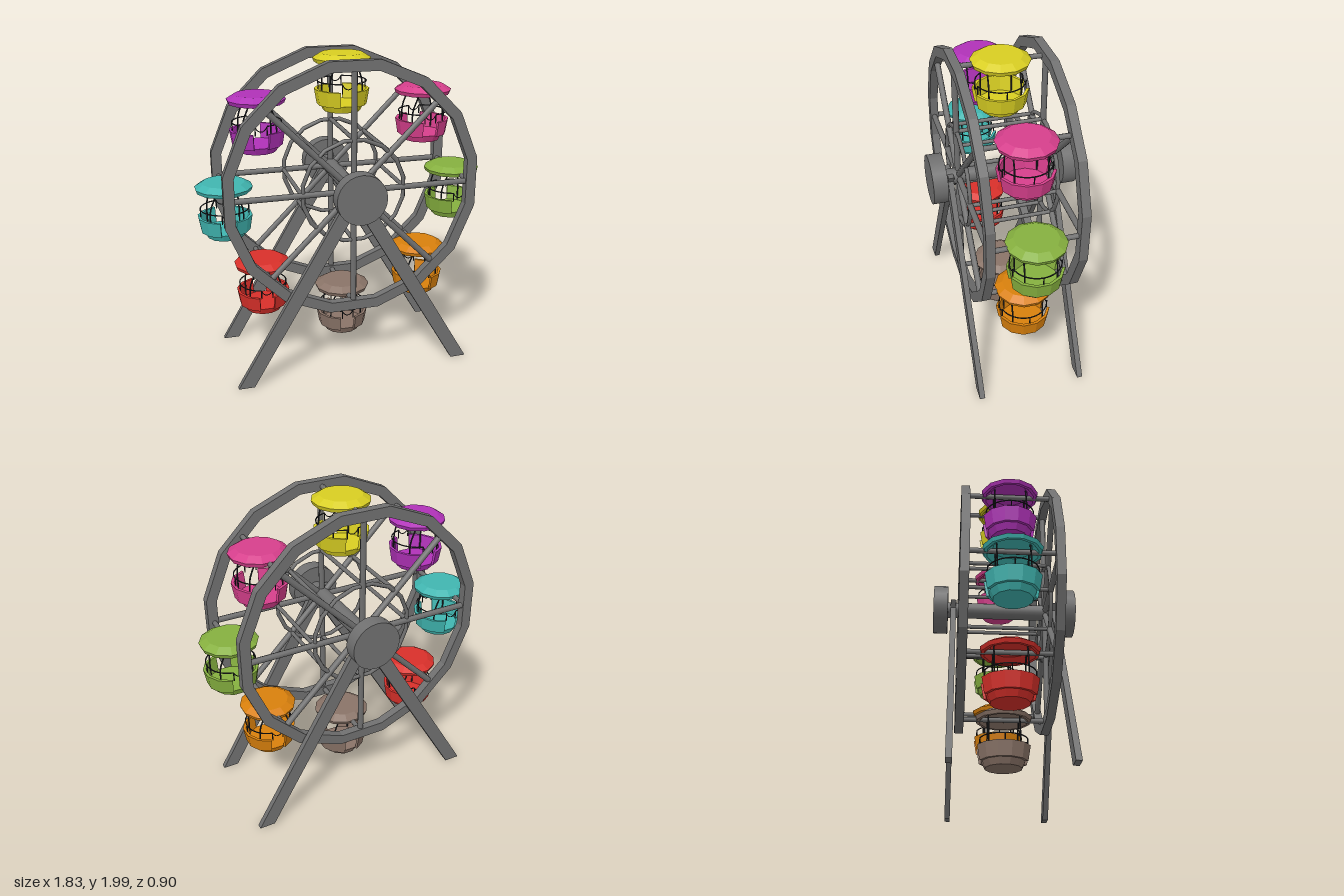
import * as THREE from 'three';

const AXLE_Y = 1.207, WHEEL_Z = 0.27, PIVOT_R = 0.743;
const V = (x, y, z) => new THREE.Vector3(x, y, z);

function material(name, color, side = THREE.FrontSide) {
  const m = new THREE.MeshStandardMaterial({ color, side });
  m.name = name;
  return m;
}

// Faceted look: every face gets its own normal
function flat(geometry) {
  const g = geometry.index ? geometry.toNonIndexed() : geometry;
  g.computeVertexNormals();
  return g;
}

function add(parent, name, geometry, mat) {
  const mesh = new THREE.Mesh(geometry, mat);
  mesh.name = name;
  parent.add(mesh);
  return mesh;
}

// Straight round bar between two points
function bar(a, b, radius, sides = 8) {
  const d = b.clone().sub(a);
  const g = new THREE.CylinderGeometry(radius, radius, d.length(), sides);
  g.applyQuaternion(new THREE.Quaternion().setFromUnitVectors(V(0, 1, 0), d.normalize()));
  const mid = a.clone().add(b).multiplyScalar(0.5);
  return g.translate(mid.x, mid.y, mid.z);
}

function tube(points, radius, segments = 10) {
  return new THREE.TubeGeometry(new THREE.CatmullRomCurve3(points), segments, radius, 5);
}

const profile = pts => pts.map(([x, y]) => new THREE.Vector2(x, y));

// Extrude an outline by depth, centred on z
function plate(shape, depth) {
  return new THREE.ExtrudeGeometry(shape, { depth, bevelEnabled: false }).translate(0, 0, -depth / 2);
}

function polygon(apothem, n) {
  const r = apothem / Math.cos(Math.PI / n), pts = [];
  for (let i = 0; i < n; i++) {
    const a = (i + 0.5) * 2 * Math.PI / n;
    pts.push(new THREE.Vector2(r * Math.cos(a), r * Math.sin(a)));
  }
  return pts;
}

// Gondola geometry, with the pivot at the origin
function cabinParts() {
  const door = 0.3, arc = Math.PI - 2 * door;
  const wall = profile([[0.136, -0.266], [0.152, -0.266], [0.168, -0.172], [0.15, -0.172], [0.136, -0.266]]);
  const roof = flat(new THREE.LatheGeometry(profile([
    [0, 0.022], [0.115, 0.022], [0.15, -0.012], [0.168, -0.012], [0.177, 0.012], [0.13, 0.041], [0, 0.041],
  ]), 12, Math.PI / 12));
  const base = flat(new THREE.LatheGeometry(profile([
    [0, -0.305], [0.114, -0.305], [0.134, -0.262], [0, -0.262],
  ]), 12, Math.PI / 12));
  const body = [['roof', roof], ['cabinBase', base]], rails = [];

  for (const s of [0, 1]) {
    // Side wall with the two door posts closing its ends
    const start = door + s * Math.PI;
    body.push(['sideWall', flat(new THREE.LatheGeometry(wall, 5, start, arc))]);
    for (const phi of [start, start + arc]) {
      body.push(['doorEdge', new THREE.ShapeGeometry(new THREE.Shape(wall)).rotateY(phi - Math.PI / 2)]);
    }
    // Handrail following the wall
    const pts = [], from = 0.24 + s * Math.PI, span = Math.PI - 0.48;
    for (let i = 0; i <= 8; i++) {
      const a = from + span * i / 8;
      pts.push(V(0.148 * Math.sin(a), -0.125, 0.148 * Math.cos(a)));
    }
    rails.push(['handrail', tube(pts, 0.004, 20)]);
    for (const i of [0, 4, 8]) {
      rails.push(['railPost', bar(pts[i], pts[i].clone().setY(-0.18), 0.004, 5)]);
    }
  }
  for (const z of [-1, 1]) {
    // Sagging chain over the doorway
    rails.push(['doorChain', tube([V(-0.036, -0.125, z * 0.144), V(-0.02, -0.148, z * 0.146),
      V(0, -0.156, z * 0.146), V(0.02, -0.148, z * 0.146), V(0.036, -0.125, z * 0.144)], 0.003)]);
    // Curved hangers from roof to bowl
    for (const x of [-1, 1]) {
      rails.push(['hanger', tube([V(x * 0.045, 0.022, z * 0.095), V(x * 0.07, -0.035, z * 0.095),
        V(x * 0.095, -0.1, z * 0.095), V(x * 0.1, -0.15, z * 0.095), V(x * 0.1, -0.262, z * 0.095)], 0.005)]);
    }
  }
  return { body, rails };
}

export function createModel() {
  const model = new THREE.Group();
  model.name = 'ferrisWheel';
  const steel = material('steelGrey', 0x707070);
  const dark = material('darkRail', 0x26282c);
  const paints = [
    ['green', 0x86b03f], ['pink', 0xd63f8c], ['yellow', 0xd8ce22], ['purple', 0xb032b8],
    ['teal', 0x40b5b0], ['red', 0xd9302a], ['brown', 0x8a7468], ['orange', 0xd9800c],
  ].map(([n, c]) => material(n, c, THREE.DoubleSide));

  // Wheel, built around its own axle
  const wheel = new THREE.Group();
  wheel.name = 'wheel';
  wheel.position.y = AXLE_Y;
  model.add(wheel);

  const rimShape = new THREE.Shape(polygon(0.782, 16));
  rimShape.holes.push(new THREE.Path(polygon(0.718, 16)));
  const rim = plate(rimShape, 0.053);
  const innerRing = new THREE.TorusGeometry(0.318, 0.0135, 6, 16).rotateZ(Math.PI / 16);
  for (const z of [-WHEEL_Z, WHEEL_Z]) {
    add(wheel, 'rim', rim, steel).position.z = z;
    add(wheel, 'innerRing', innerRing, steel).position.z = z;
  }
  add(wheel, 'axle', bar(V(0, 0, -0.4), V(0, 0, 0.4), 0.05, 16), steel);

  const { body, rails } = cabinParts();
  for (let k = 0; k < 8; k++) {
    const c = Math.cos(k * Math.PI / 4), s = Math.sin(k * Math.PI / 4);
    const at = (r, z) => V(r * c, r * s, z);
    for (const z of [-WHEEL_Z, WHEEL_Z]) {
      add(wheel, 'spoke', bar(at(0.03, z), at(0.735, z), 0.019), steel);
    }
    add(wheel, 'crossBar', bar(at(0.318, -WHEEL_Z), at(0.318, WHEEL_Z), 0.013), steel);
    add(wheel, 'cabinAxle', bar(at(PIVOT_R, -WHEEL_Z), at(PIVOT_R, WHEEL_Z), 0.016), steel);

    const cabin = new THREE.Group();
    cabin.name = 'cabin';
    cabin.position.copy(at(PIVOT_R, 0));
    for (const [name, g] of body) add(cabin, name, g, paints[k]);
    for (const [name, g] of rails) add(cabin, name, g, dark);
    wheel.add(cabin);
  }

  // Stand: hub drums and slanted legs on both sides
  const hub = new THREE.CylinderGeometry(0.154, 0.154, 0.09, 24).rotateX(Math.PI / 2);
  for (const z of [-1, 1]) {
    add(model, 'hubDrum', hub, steel).position.set(0, AXLE_Y, z * 0.406);
    for (const x of [-1, 1]) {
      const leg = new THREE.Shape(profile([
        [x * 0.758, 0], [x * 0.658, 0], [x * -0.075, 1.245], [x * 0.025, 1.245],
      ]));
      add(model, 'leg', plate(leg, 0.035), steel).position.z = z * 0.326;
    }
  }
  return model;
}
